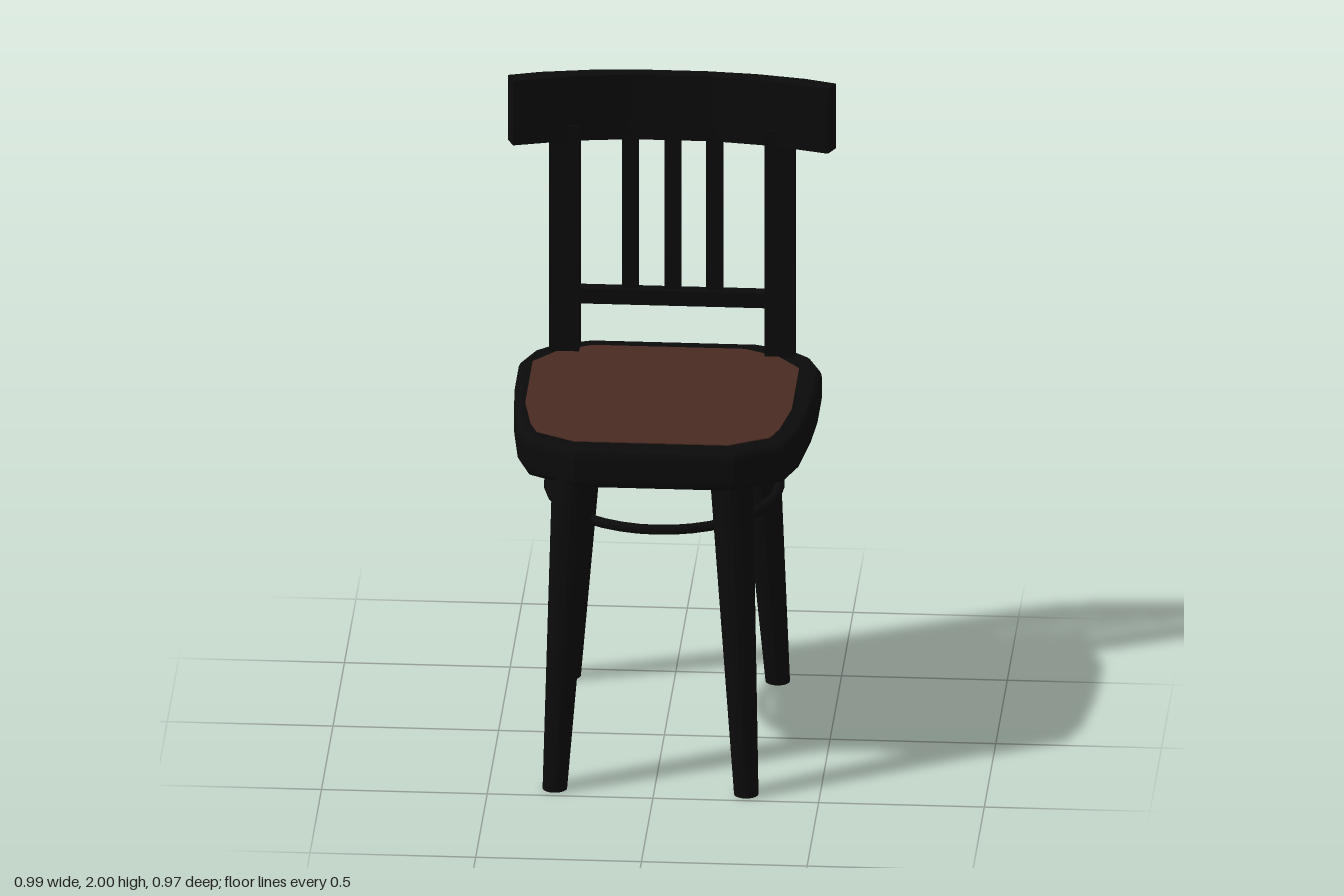
import * as THREE from 'three';

const blackWood = new THREE.MeshStandardMaterial({ color: 0x0b0b0b });
blackWood.name = 'blackWood';
const brownSeat = new THREE.MeshStandardMaterial({ color: 0x4a2c23 });
brownSeat.name = 'brownSeat';

// Closed shape from the +x half of an outline, mirrored to -x
function mirroredShape(half) {
  const mirrored = half.map(([x, z]) => [-x, z]).reverse();
  return new THREE.Shape([...half, ...mirrored].map(([x, z]) => new THREE.Vector2(x, z)));
}

// Horizontal slab: outline in x/z, top face at y = 0
function slab(half, depth, bevel = 0) {
  const geometry = new THREE.ExtrudeGeometry(mirroredShape(half), {
    depth: depth - 2 * bevel,
    bevelEnabled: bevel > 0,
    bevelThickness: bevel,
    bevelSize: bevel * 0.7,
    bevelOffset: -bevel * 0.7,
    bevelSegments: 4,
  });
  geometry.rotateX(Math.PI / 2);
  geometry.translate(0, -bevel, 0);
  return geometry;
}

export function createModel() {
  const chair = new THREE.Group();
  chair.name = 'chair';

  const add = (name, geometry, material, x = 0, y = 0, z = 0) => {
    const mesh = new THREE.Mesh(geometry, material);
    mesh.name = name;
    mesh.position.set(x, y, z);
    chair.add(mesh);
    return mesh;
  };

  // Seat frame with rounded edge
  add('seatFrame', slab([
    [0.25, -0.44], [0.36, -0.4], [0.42, -0.345], [0.458, -0.25], [0.458, -0.08],
    [0.448, 0.08], [0.427, 0.25], [0.39, 0.36], [0.24, 0.447],
  ], 0.125, 0.03), blackWood, 0, 1.104, 0);

  // Thin seat panel
  add('seatPanel', slab([
    [0.23, -0.38], [0.335, -0.325], [0.402, -0.24], [0.402, 0.08],
    [0.376, 0.24], [0.352, 0.31], [0.232, 0.378],
  ], 0.008), brownSeat, -0.012, 1.107, 0);

  // Splayed, tapered legs: [name, top x, top z, foot x, foot z]
  const legs = [
    ['frontLeftLeg', 0.228, 0.368, 0.278, 0.446],
    ['frontRightLeg', -0.248, 0.368, -0.3, 0.44],
    ['backLeftLeg', 0.25, -0.368, 0.311, -0.448],
    ['backRightLeg', -0.26, -0.368, -0.32, -0.448],
  ];
  for (const [name, tx, tz, fx, fz] of legs) {
    const geometry = new THREE.CylinderGeometry(0.065, 0.037, 1, 20);
    // Shear the upright cylinder so both ends stay level
    const p = geometry.attributes.position;
    for (let i = 0; i < p.count; i++) {
      const t = p.getY(i) + 0.5;
      p.setX(i, p.getX(i) + fx + (tx - fx) * t);
      p.setZ(i, p.getZ(i) + fz + (tz - fz) * t);
    }
    geometry.computeVertexNormals();
    add(name, geometry, blackWood, 0, 0.5, 0);
  }

  // Hoop stretcher between the legs
  const hoop = new THREE.TorusGeometry(0.347, 0.016, 8, 40);
  hoop.rotateX(Math.PI / 2);
  hoop.scale(1, 1, 1.05);
  add('hoopStretcher', hoop, blackWood, 0, 0.819, 0);

  // Back posts
  for (const side of [-1, 1]) {
    add(side > 0 ? 'leftBackPost' : 'rightBackPost',
      new THREE.BoxGeometry(0.09, 0.79, 0.075), blackWood, side * 0.325, 1.445, -0.363);
  }

  // Lower crossbar and three slats
  add('backCrossbar', new THREE.BoxGeometry(0.58, 0.048, 0.04), blackWood, 0, 1.278, -0.368);
  for (const x of [-0.128, 0, 0.126]) {
    add('backSlat', new THREE.BoxGeometry(0.05, 0.56, 0.03), blackWood, x, 1.56, -0.375);
  }

  // Curved top rail, tilted slightly backwards
  const rail = slab([
    [0.1, -0.065], [0.25, -0.05], [0.4, -0.017], [0.495, 0.02],
    [0.475, 0.075], [0.3, 0.015], [0.125, -0.014],
  ], 0.205);
  rail.translate(0, 0.205, 0);
  add('topRail', rail, blackWood, 0, 1.79, -0.345).rotation.x = -0.07;

  return chair;
}
